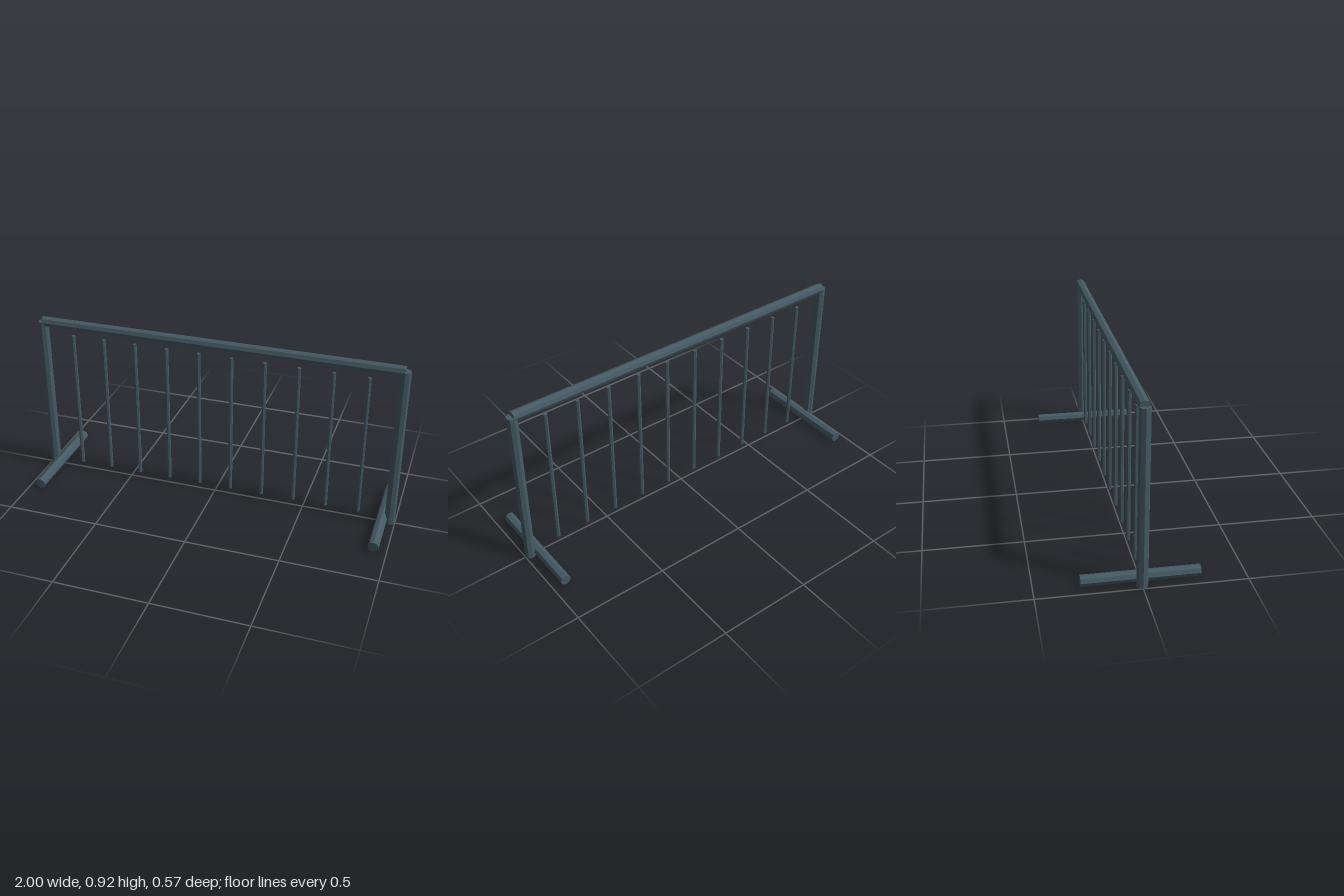
import * as THREE from 'three';

export function createModel() {
  const group = new THREE.Group();
  const metal = new THREE.MeshStandardMaterial({ color: 0x455a64, flatShading: true });

  // Straight tube centred at (x, y, 0)
  function tube(name, radius, length, sides, x, y) {
    const mesh = new THREE.Mesh(new THREE.CylinderGeometry(radius, radius, length, sides), metal);
    mesh.name = name;
    mesh.position.set(x, y, 0);
    group.add(mesh);
    return mesh;
  }

  // Top rail
  tube('topRail', 0.028, 1.944, 8, 0, 0.891).rotation.z = Math.PI / 2;

  // Side posts and the feet crossing them
  for (const [side, s] of [['left', 1], ['right', -1]]) {
    tube(side + 'Post', 0.028, 0.891, 8, s * 0.972, 0.4455);
    tube(side + 'Foot', 0.0285, 0.567, 8, s * 0.932, 0.0295).rotation.x = Math.PI / 2;
  }

  // Row of thin upright bars
  const count = 10, spacing = 0.178;
  for (let i = 0; i < count; i++) {
    tube('bar' + (i + 1), 0.0105, 0.794, 6, (i - (count - 1) / 2) * spacing, 0.432);
  }

  return group;
}
